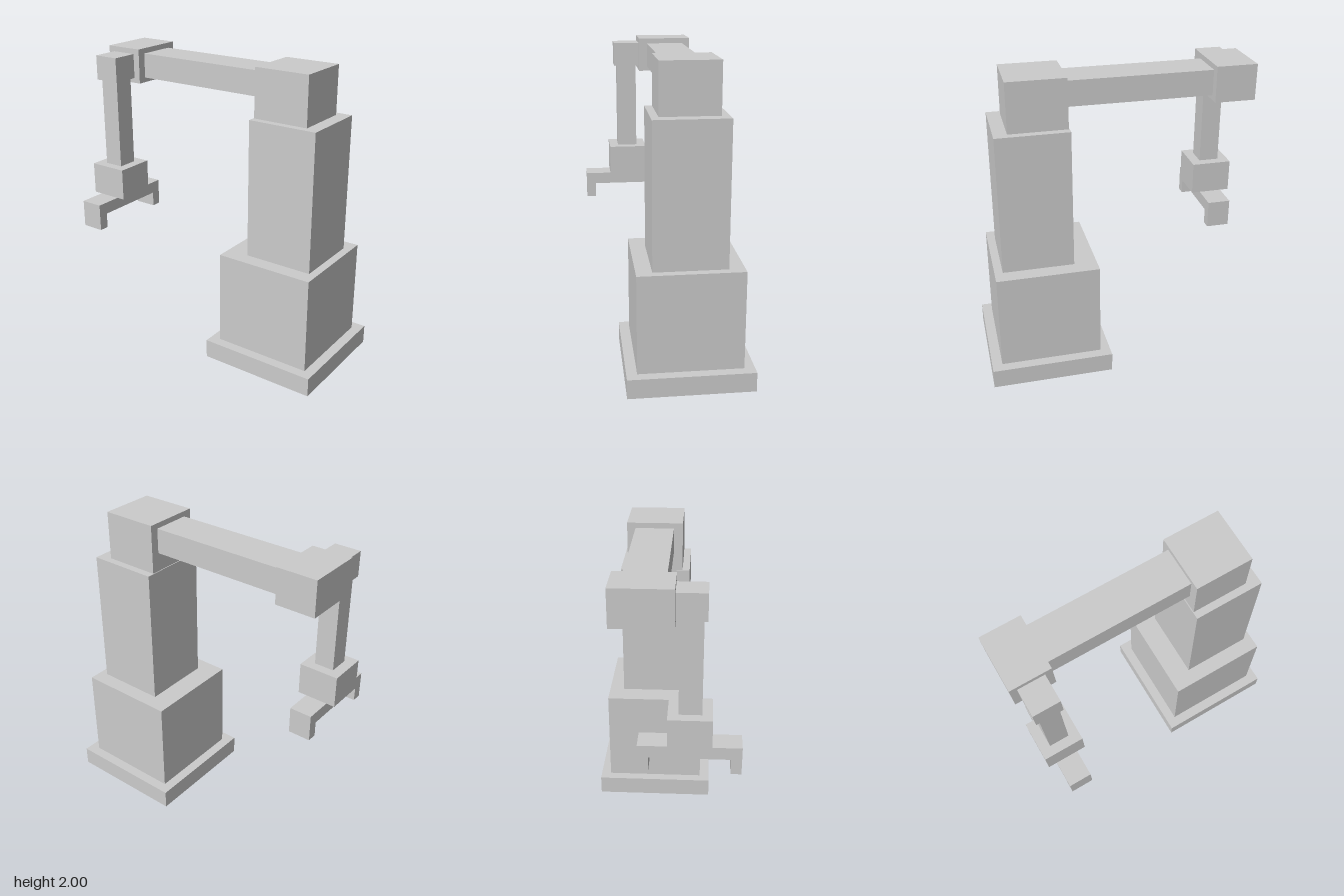
import * as THREE from 'three';

const material = new THREE.MeshStandardMaterial({ color: 0xcccccc, flatShading: true });

// Box given by its [min, max] extents on each axis
function block(name, [x0, x1], [y0, y1], [z0, z1]) {
  const mesh = new THREE.Mesh(new THREE.BoxGeometry(x1 - x0, y1 - y0, z1 - z0), material);
  mesh.position.set((x0 + x1) / 2, (y0 + y1) / 2, (z0 + z1) / 2);
  mesh.name = name;
  return mesh;
}

// U-shaped gripper: a crossbar with two downturned fingers, as one solid
function createGripper() {
  const half = 0.31, finger = 0.065, depth = 0.15;
  const shape = new THREE.Shape([
    [-half, 0], [-half, -0.18], [-half + finger, -0.18], [-half + finger, -0.08],
    [half - finger, -0.08], [half - finger, -0.18], [half, -0.18], [half, 0],
  ].map(([x, y]) => new THREE.Vector2(x, y)));
  const geometry = new THREE.ExtrudeGeometry(shape, { depth, bevelEnabled: false });
  geometry.translate(0, 0, -depth / 2);
  const mesh = new THREE.Mesh(geometry, material);
  mesh.name = 'gripper';
  mesh.position.set(-0.18, 1.0, -0.75);
  return mesh;
}

export function createModel() {
  const model = new THREE.Group();
  model.name = 'robotArm';

  // Stepped pedestal
  model.add(
    block('basePlate', [-0.31, 0.487], [0, 0.127], [0.086, 0.882]),
    block('lowerColumn', [-0.243, 0.42], [0.127, 0.765], [0.152, 0.816]),
    block('upperColumn', [-0.143, 0.32], [0.765, 1.68], [0.3, 0.763]),
    block('shoulder', [-0.095, 0.271], [1.68, 2], [0.305, 0.677]),
  );

  // Horizontal boom and elbow
  model.add(
    block('upperArm', [-0.037, 0.216], [1.802, 1.965], [-0.62, 0.305]),
    block('elbow', [-0.093, 0.27], [1.77, 2], [-0.882, -0.62]),
    block('elbowPivot', [-0.27, -0.093], [1.803, 1.965], [-0.838, -0.666]),
  );

  // Hanging forearm, wrist and gripper
  model.add(
    block('forearm', [-0.25, -0.114], [1.212, 1.803], [-0.815, -0.684]),
    block('wrist', [-0.312, -0.05], [1.0, 1.212], [-0.882, -0.618]),
    createGripper(),
  );

  return model;
}
